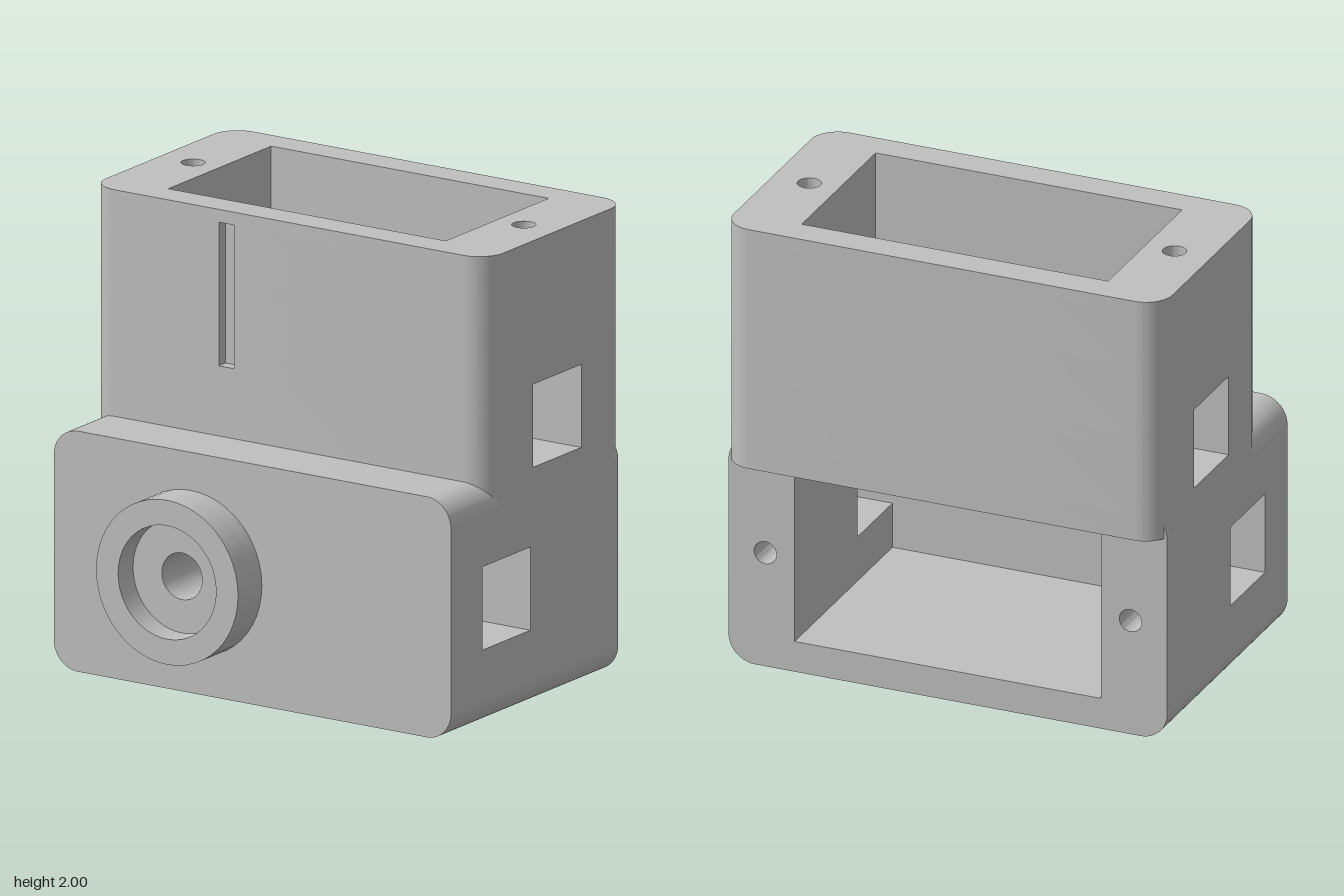
import * as THREE from 'three';
import { toCreasedNormals } from 'three/addons/utils/BufferGeometryUtils.js';

const W = 0.985, H = 0.515, R = 0.12;      // housing half width, half height, corner radius
const CU = 0.688, CV = 0.378;              // cavity half sizes
const GAP = 0.178;                         // half width of the side windows
const SCREW = { u: 0.82, r: 0.05 };
const LENS = { u: 0.305, r: 0.352, bore: 0.243, hole: 0.1 };

const circle = (Type, u, v, r) => new Type().absarc(u, v, r, 0, Math.PI * 2, false);

// lower edge of the rounded profile, left to right, with an optional shallow slot
function addEdge(s, slot) {
  s.lineTo(-W, -H + R);
  s.absarc(-W + R, -H + R, R, Math.PI, Math.PI * 1.5, false);
  if (slot) {
    s.lineTo(-0.345, -H);
    s.lineTo(-0.345, -H + 0.05);
    s.lineTo(-0.27, -H + 0.05);
    s.lineTo(-0.27, -H);
  }
  s.lineTo(W - R, -H);
  s.absarc(W - R, -H + R, R, Math.PI * 1.5, Math.PI * 2, false);
}

// whole rounded profile
function fullProfile(slot) {
  const s = new THREE.Shape();
  s.moveTo(-W, 0);
  addEdge(s, slot);
  s.lineTo(W, H - R);
  s.absarc(W - R, H - R, R, 0, Math.PI / 2, false);
  s.lineTo(-W + R, H);
  s.absarc(-W + R, H - R, R, Math.PI / 2, Math.PI, false);
  return s;
}

// U-shaped half of the wall, cut off at the side windows
function halfProfile(slot) {
  const s = new THREE.Shape();
  s.moveTo(-W, -GAP);
  addEdge(s, slot);
  s.lineTo(W, -GAP);
  s.lineTo(CU, -GAP);
  s.lineTo(CU, -CV);
  s.lineTo(-CU, -CV);
  s.lineTo(-CU, -GAP);
  return s;
}

function cavity() {
  return new THREE.Path([[-CU, -CV], [CU, -CV], [CU, CV], [-CU, CV]].map(([u, v]) => new THREE.Vector2(u, v)));
}

export function createModel() {
  const grey = new THREE.MeshStandardMaterial({ color: 0xbfbfbf });
  grey.name = 'grey plastic';

  function slab(parent, name, shape, from, to, turn = 0) {
    const geo = new THREE.ExtrudeGeometry(shape, { depth: to - from, bevelEnabled: false, curveSegments: 24 });
    geo.rotateZ(turn);
    geo.translate(0, 0, from);
    const mesh = new THREE.Mesh(toCreasedNormals(geo, 0.5), grey);
    mesh.name = name;
    parent.add(mesh);
  }

  // layer with the two side windows
  function windowWall(parent, from, to, slot) {
    slab(parent, 'windowWallFront', halfProfile(slot), from, to);
    slab(parent, 'windowWallBack', halfProfile(false), from, to, Math.PI);
  }

  // closed wall around the cavity, optionally with screw holes
  function wall(parent, name, from, to, { slot = false, screws = false } = {}) {
    const s = fullProfile(slot);
    s.holes.push(cavity());
    if (screws) for (const side of [-1, 1]) s.holes.push(circle(THREE.Path, side * SCREW.u, 0, SCREW.r));
    slab(parent, name, s, from, to);
  }

  const model = new THREE.Group();
  model.name = 'doubleHousing';

  // lower housing: layers run from the front face to the open back
  const lower = new THREE.Group();
  lower.name = 'lowerHousing';
  lower.rotation.y = Math.PI;
  lower.position.set(0, H, 0.56);
  const face = fullProfile(false);
  face.holes.push(circle(THREE.Path, LENS.u, 0, LENS.hole));
  slab(lower, 'frontPlate', face, 0, 0.23);
  windowWall(lower, 0.23, 0.585, false);
  wall(lower, 'cavityWall', 0.585, 0.93);
  wall(lower, 'screwWall', 0.93, 1.23, { screws: true });

  // round collar with a recess and a through hole
  const collar = [['collarBase', LENS.hole, -0.065, 0], ['collarRim', LENS.bore, -0.175, -0.065]];
  for (const [name, hole, from, to] of collar) {
    const s = circle(THREE.Shape, LENS.u, 0, LENS.r);
    s.holes.push(circle(THREE.Path, LENS.u, 0, hole));
    slab(lower, name, s, from, to);
  }
  model.add(lower);

  // upper housing: layers run from the floor to the open top
  const upper = new THREE.Group();
  upper.name = 'upperHousing';
  upper.rotation.x = -Math.PI / 2;
  upper.position.set(0, 0.915, -0.22);
  slab(upper, 'floor', fullProfile(false), 0, 0.115);
  windowWall(upper, 0.115, 0.415, false);
  windowWall(upper, 0.415, 0.47, true);
  wall(upper, 'slotWall', 0.47, 0.785, { slot: true });
  wall(upper, 'slotScrewWall', 0.785, 1.03, { slot: true, screws: true });
  wall(upper, 'topRim', 1.03, 1.085, { screws: true });
  model.add(upper);

  return model;
}
